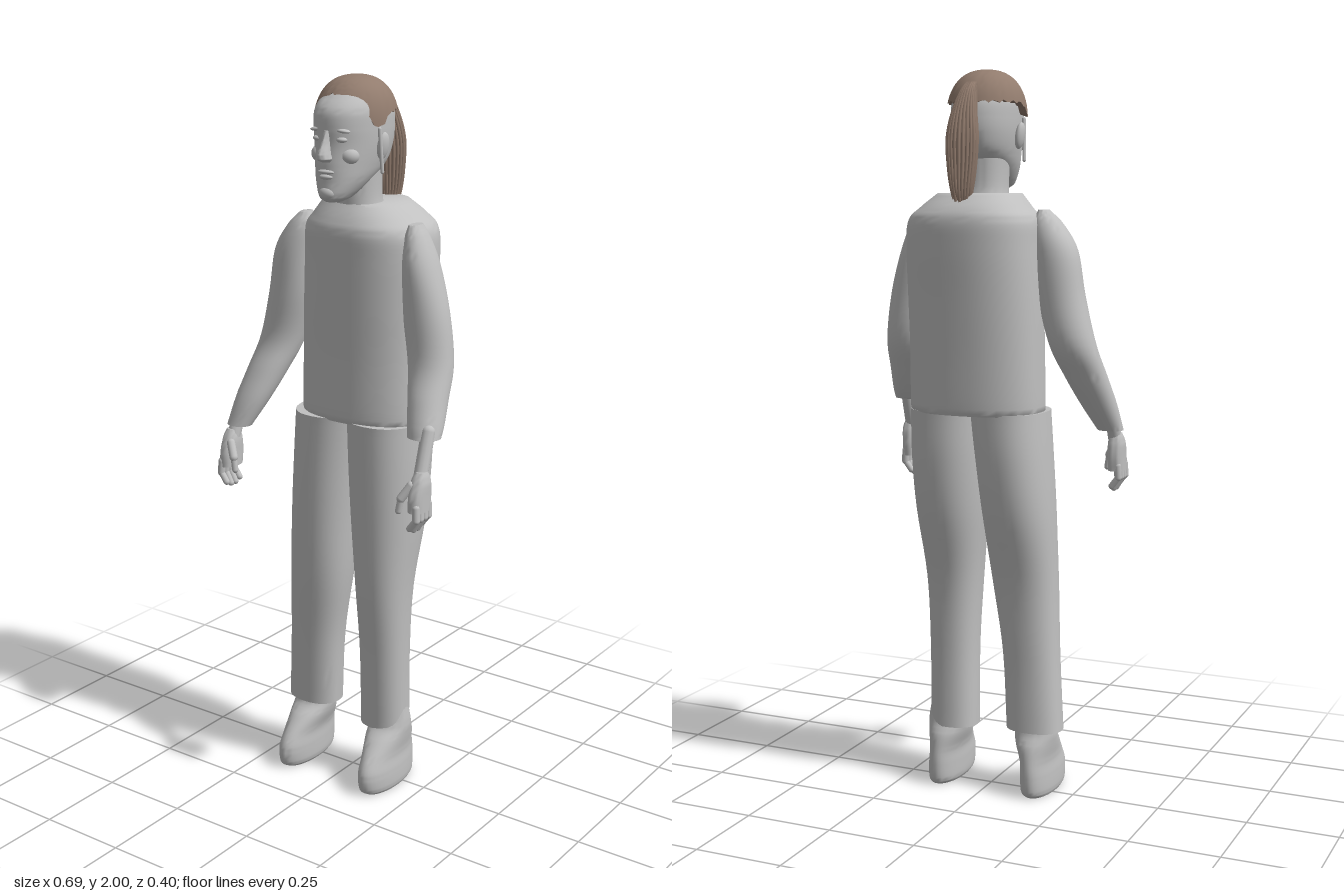
import * as THREE from 'three';
import { toCreasedNormals } from 'three/addons/utils/BufferGeometryUtils.js';

const grey = new THREE.MeshStandardMaterial({ color: 0xc0c0c0 });
grey.name = 'light grey';
const brown = new THREE.MeshStandardMaterial({ color: 0x927c6e, side: THREE.DoubleSide });
brown.name = 'hair brown';

// Closed skin over horizontal rings; ring(i, j) returns a point, rings rise in y
function skin(rings, sides, ring, crease = 0.9) {
  const pos = [], idx = [];
  for (let i = 0; i < rings; i++) for (let j = 0; j < sides; j++) pos.push(...ring(i, j));
  for (const r of [0, rings - 1]) {
    const c = [0, 0, 0];
    for (let j = 0; j < sides; j++) for (let k = 0; k < 3; k++) c[k] += pos[(r * sides + j) * 3 + k] / sides;
    pos.push(...c);
  }
  const bottom = rings * sides, top = bottom + 1, last = (rings - 1) * sides;
  for (let j = 0; j < sides; j++) {
    const n = (j + 1) % sides;
    for (let i = 0; i < rings - 1; i++) {
      const a = i * sides + j, b = i * sides + n;
      idx.push(a, a + sides, b, b, a + sides, b + sides);
    }
    idx.push(bottom, j, n, top, last + n, last + j);
  }
  const g = new THREE.BufferGeometry();
  g.setAttribute('position', new THREE.Float32BufferAttribute(pos, 3));
  g.setIndex(idx);
  return toCreasedNormals(g, crease);
}

// Rows are [y, xMin, xMax, zMin, zMax]; sections are superellipses of the given power
function loft(rows, power = 2.2, sides = 36, steps = 5) {
  const curve = (f) => new THREE.CatmullRomCurve3(rows.map(f), false, 'catmullrom', 0.5);
  const c1 = curve((r) => new THREE.Vector3(r[0], r[1], r[2]));
  const c2 = curve((r) => new THREE.Vector3(r[3], r[4], 0));
  const rings = (rows.length - 1) * steps + 1;
  const round = (v) => Math.sign(v) * Math.abs(v) ** (2 / power);
  const sect = Array.from({ length: rings }, (_, i) => [c1.getPoint(i / (rings - 1)), c2.getPoint(i / (rings - 1))]);
  return skin(rings, sides, (i, j) => {
    const [p, q] = sect[i], a = (j / sides) * Math.PI * 2;
    return [(p.y + p.z) / 2 + (p.z - p.y) / 2 * round(Math.cos(a)), p.x,
      (q.x + q.y) / 2 + (q.y - q.x) / 2 * round(Math.sin(a))];
  });
}

function add(parent, name, geometry, material = grey) {
  const m = new THREE.Mesh(geometry, material);
  m.name = name;
  parent.add(m);
  return m;
}

function ellipsoid(parent, name, pos, size, material = grey) {
  const m = add(parent, name, new THREE.SphereGeometry(1, 20, 14), material);
  m.position.set(...pos);
  m.scale.set(...size);
  return m;
}

// Rounded bone between two points
function bone(parent, name, from, to, radius) {
  const a = new THREE.Vector3(...from), b = new THREE.Vector3(...to);
  const m = add(parent, name, new THREE.CapsuleGeometry(radius, a.distanceTo(b), 5, 12));
  m.position.copy(a).add(b).multiplyScalar(0.5);
  m.quaternion.setFromUnitVectors(new THREE.Vector3(0, 1, 0), b.sub(a).normalize());
}

function makeHand(side) {
  const hand = new THREE.Group();
  hand.name = side > 0 ? 'leftHand' : 'rightHand';
  const dz = side > 0 ? 0.005 : -0.005;
  const p = (x, y, z) => [side * x, y, z + dz];
  bone(hand, 'wrist', p(0.312, 1.11, 0.095), p(0.317, 0.99, 0.14), 0.019);
  const span = side > 0 ? [0.298, 0.343] : [-0.343, -0.298];
  add(hand, 'palm', loft([[0.91, ...span, 0.11 + dz, 0.185 + dz], [0.95, ...span, 0.105 + dz, 0.185 + dz],
    [0.99, ...span, 0.11 + dz, 0.17 + dz], [1.015, span[0] + 0.008, span[1] - 0.008, 0.12 + dz, 0.155 + dz]], 2.4, 20, 3));
  for (let i = 0; i < 4; i++) {
    const z = 0.12 + i * 0.019, tip = 0.855 + 0.008 * Math.abs(i - 1.5);
    bone(hand, 'finger', p(0.33, 0.925, z), p(0.332, 0.892, z + 0.002), 0.0105);
    bone(hand, 'fingertip', p(0.332, 0.892, z + 0.002), p(0.313, tip, z + 0.003), 0.009);
  }
  bone(hand, 'thumb', p(0.306, 0.98, 0.165), p(0.285, 0.945, 0.18), 0.012);
  bone(hand, 'thumbTip', p(0.285, 0.945, 0.18), p(0.279, 0.91, 0.182), 0.009);
  return hand;
}

function makeHead() {
  const head = new THREE.Group();
  head.name = 'head';
  const X = 0.02;
  add(head, 'neck', loft([[1.64, -0.05, 0.09, -0.075, 0.065], [1.69, -0.042, 0.082, -0.06, 0.07],
    [1.8, -0.045, 0.085, -0.06, 0.08]]));
  // [y, half width, back, front]
  const rows = [[1.686, 0.022, 0.085, 0.138], [1.7, 0.041, 0.045, 0.152], [1.74, 0.065, -0.02, 0.15],
    [1.78, 0.078, -0.08, 0.149], [1.83, 0.087, -0.101, 0.144], [1.88, 0.09, -0.105, 0.146],
    [1.92, 0.088, -0.098, 0.139], [1.955, 0.072, -0.075, 0.103], [1.98, 0.042, -0.045, 0.06], [1.99, 0.01, -0.01, 0.015]];
  add(head, 'skull', loft(rows.map(([y, w, b, f]) => [y, X - w, X + w, b, f]), 2.15, 40));
  // Nose: narrow bridge widening to the tip
  add(head, 'nose', loft([[1.79, X - 0.012, X + 0.012, 0.13, 0.158], [1.798, X - 0.019, X + 0.019, 0.125, 0.176],
    [1.812, X - 0.015, X + 0.015, 0.125, 0.178], [1.84, X - 0.01, X + 0.01, 0.125, 0.162],
    [1.87, X - 0.009, X + 0.009, 0.125, 0.149]], 2, 20));
  ellipsoid(head, 'upperLip', [X, 1.765, 0.147], [0.025, 0.006, 0.011]);
  ellipsoid(head, 'lowerLip', [X, 1.752, 0.146], [0.021, 0.007, 0.011]);
  ellipsoid(head, 'chin', [X, 1.71, 0.14], [0.025, 0.018, 0.018]);
  for (const s of [-1, 1]) {
    ellipsoid(head, 'eye', [X + s * 0.036, 1.847, 0.128], [0.016, 0.008, 0.014]);
    ellipsoid(head, 'brow', [X + s * 0.038, 1.87, 0.128], [0.024, 0.006, 0.013]).rotation.z = -s * 0.1;
    ellipsoid(head, 'cheek', [X + s * 0.043, 1.805, 0.105], [0.028, 0.025, 0.028]);
    ellipsoid(head, 'ear', [X + s * 0.093, 1.825, 0.025], [0.012, 0.036, 0.021]).rotation.z = -s * 0.15;
    bone(head, 'sideLock', [X + s * 0.096, 1.87, 0.045], [X + s * 0.1, 1.76, 0.038], 0.005);
  }
  return head;
}

function makeHair() {
  const hair = new THREE.Group();
  hair.name = 'hair';
  // Cap with a hairline that arches over the forehead and dips at the temples
  const bump = (a, c, w) => Math.exp(-(((a - c) / w) ** 2));
  const rings = 14, sides = 64;
  add(hair, 'hairCap', skin(rings, sides, (i, j) => {
    const a = (j / sides) * Math.PI * 2;
    const turn = Math.abs(Math.atan2(Math.cos(a), Math.sin(a)));
    const edge = 1.912 + 0.045 * bump(turn, 0, 0.7) - 0.04 * bump(turn, 1.2, 0.28) + 0.004 * Math.sin(j * 2.3);
    const y = edge + (1.9995 - edge) * Math.sin((i / (rings - 1)) * Math.PI / 2);
    const r = Math.max(0, 1 - (Math.abs(y - 1.86) / 0.14) ** 2.4) ** (1 / 2.4);
    return [0.016 + 0.109 * r * Math.cos(a), y, 0.007 + 0.119 * r * Math.sin(a)];
  }, 1.2), brown);
  // Ponytail core with fine strands laid around it
  const tail = [[1.62, 0.01, 0.03, -0.152, -0.128], [1.68, -0.008, 0.045, -0.178, -0.125],
    [1.75, -0.018, 0.056, -0.182, -0.118], [1.82, -0.02, 0.06, -0.18, -0.11],
    [1.89, -0.008, 0.05, -0.158, -0.098], [1.94, 0.002, 0.036, -0.128, -0.08], [1.96, 0.008, 0.03, -0.1, -0.07]];
  add(hair, 'ponytail', loft(tail, 2, 24), brown);
  const strands = 22;
  for (let k = 0; k < strands; k++) {
    const a = (k / strands) * Math.PI * 2, drop = 0.018 * Math.sin(k * 2.7);
    const path = tail.map(([y, x0, x1, z0, z1], i) => new THREE.Vector3(
      (x0 + x1) / 2 + (x1 - x0) / 2 * Math.cos(a), y + (i === 0 ? drop : 0),
      (z0 + z1) / 2 + (z1 - z0) / 2 * Math.sin(a)));
    add(hair, 'strand', new THREE.TubeGeometry(new THREE.CatmullRomCurve3(path), 24, 0.005, 5), brown);
  }
  return hair;
}

export function createModel() {
  const model = new THREE.Group();
  model.name = 'standingFigure';

  add(model, 'shirt', loft([[1.08, -0.16, 0.207, -0.165, 0.09], [1.1, -0.165, 0.212, -0.17, 0.094],
    [1.25, -0.163, 0.21, -0.178, 0.094], [1.4, -0.16, 0.212, -0.188, 0.097], [1.53, -0.155, 0.213, -0.198, 0.1],
    [1.6, -0.15, 0.205, -0.2, 0.102], [1.635, -0.125, 0.17, -0.185, 0.09], [1.672, -0.095, 0.125, -0.15, 0.068]], 2.4, 48));

  // Trouser legs, standing slightly apart
  add(model, 'rightTrouserLeg', loft([[0.185, -0.218, -0.057, -0.07, 0.055], [0.4, -0.203, -0.042, -0.065, 0.068],
    [0.6, -0.195, -0.012, -0.077, 0.085], [0.8, -0.19, 0.006, -0.125, 0.094], [0.95, -0.182, 0.02, -0.145, 0.098],
    [1.085, -0.173, 0.035, -0.15, 0.1]], 2.3));
  add(model, 'leftTrouserLeg', loft([[0.17, 0.04, 0.178, -0.07, 0.055], [0.4, 0.043, 0.182, -0.065, 0.068],
    [0.6, 0.034, 0.19, -0.077, 0.085], [0.8, 0.015, 0.207, -0.125, 0.094], [0.95, 0.005, 0.214, -0.145, 0.098],
    [1.085, 0.0, 0.215, -0.15, 0.1]], 2.3));

  // Feet, [y, outer, inner, back, front] measured for each side
  const foot = [[0, 0.045, -0.038, -0.075, 0.125], [0.015, 0.05, -0.045, -0.088, 0.142], [0.06, 0.049, -0.046, -0.092, 0.147],
    [0.1, 0.045, -0.046, -0.09, 0.128], [0.145, 0.05, -0.06, -0.082, 0.088], [0.18, 0.052, -0.065, -0.065, 0.05],
    [0.23, 0.045, -0.06, -0.055, 0.04]];
  add(model, 'rightFoot', loft(foot.map(([y, o, i, b, f]) => [y, -0.146 - o, -0.146 - i, b, f]), 2.1));
  add(model, 'leftFoot', loft(foot.map(([y, o, i, b, f]) => [y, 0.134 + i, 0.134 + o, b, f]), 2.1));

  // Sleeves, bent forward at the elbow
  add(model, 'rightSleeve', loft([[1.025, -0.345, -0.272, 0.085, 0.148], [1.1, -0.336, -0.236, 0.035, 0.128],
    [1.18, -0.322, -0.205, -0.015, 0.095], [1.27, -0.303, -0.175, -0.06, 0.06], [1.4, -0.272, -0.143, -0.064, 0.058],
    [1.52, -0.25, -0.13, -0.062, 0.056], [1.59, -0.208, -0.126, -0.045, 0.042], [1.628, -0.168, -0.14, -0.022, 0.022]], 2.1, 28));
  add(model, 'leftSleeve', loft([[1.088, 0.244, 0.336, 0.045, 0.127], [1.12, 0.235, 0.333, 0.02, 0.118],
    [1.18, 0.218, 0.325, -0.015, 0.095], [1.27, 0.192, 0.316, -0.055, 0.06], [1.4, 0.172, 0.298, -0.06, 0.056],
    [1.52, 0.17, 0.264, -0.06, 0.055], [1.59, 0.175, 0.236, -0.045, 0.042], [1.628, 0.187, 0.215, -0.026, 0.028]], 2.1, 28));

  model.add(makeHand(1), makeHand(-1), makeHead(), makeHair());
  return model;
}
